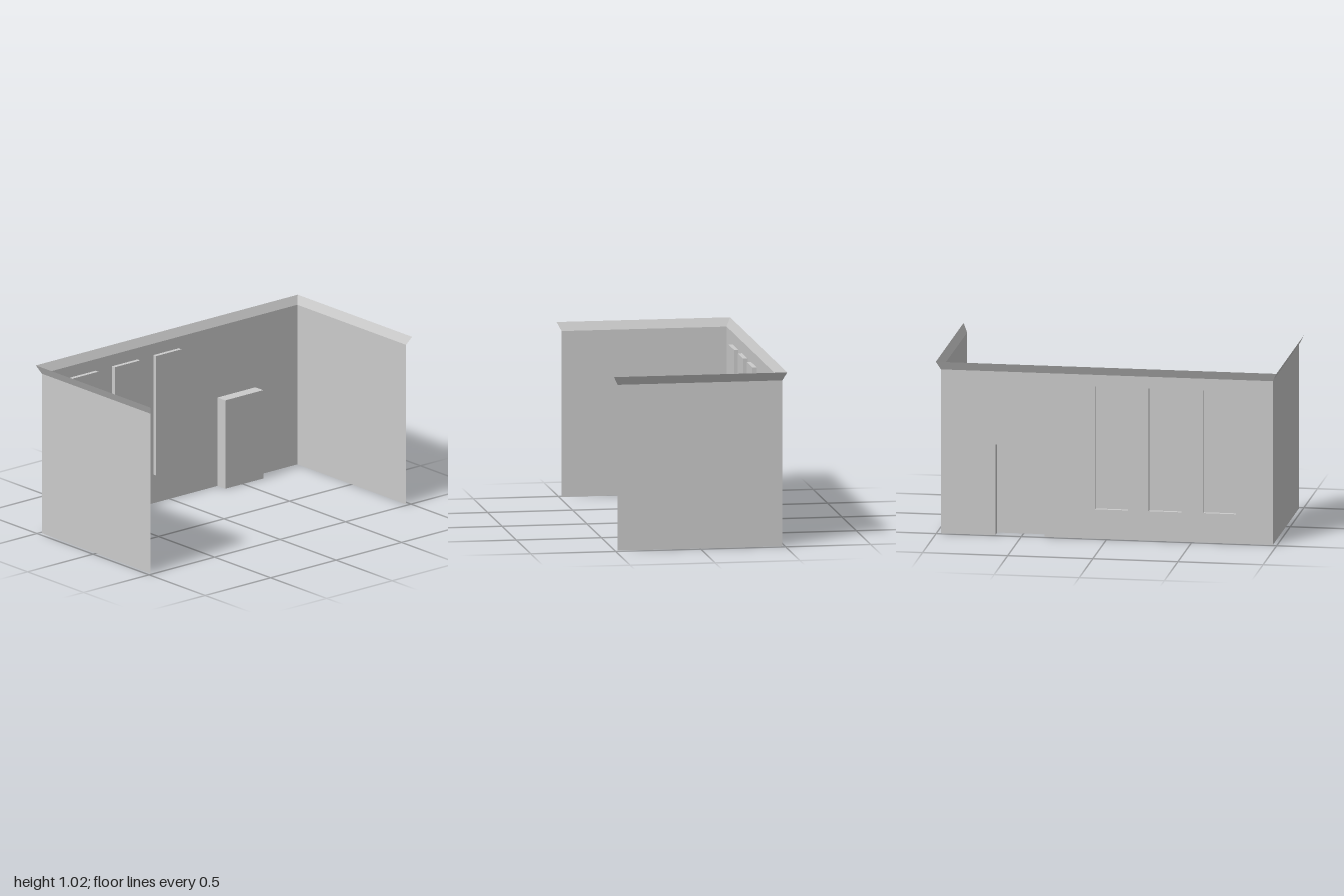
import * as THREE from 'three';

const X = 0.485, Z = 0.975, EAVE = 0.975;   // wall faces and wall height
const TX = 0.51, TZ = 1, TOP = 1.025;       // flared cornice rim

const material = new THREE.MeshStandardMaterial({
  color: 0xcccccc, side: THREE.DoubleSide, flatShading: true,
});

// Flat four-cornered sheets, corners counter-clockwise seen from outside
function sheets(name, quads) {
  const pos = [];
  for (const [a, b, c, d] of quads) pos.push(...a, ...b, ...c, ...a, ...c, ...d);
  const geo = new THREE.BufferGeometry();
  geo.setAttribute('position', new THREE.Float32BufferAttribute(pos, 3));
  geo.computeVertexNormals();
  const mesh = new THREE.Mesh(geo, material);
  mesh.name = name;
  return mesh;
}

// Niche pushed inward from the long wall: back panel plus reveals
function niche(name, { z0, z1, y0, y1, depth }, withSill) {
  const o = -X, i = -X + depth;
  const quads = [
    [[i, y0, z0], [i, y0, z1], [i, y1, z1], [i, y1, z0]],   // panel
    [[o, y0, z0], [i, y0, z0], [i, y1, z0], [o, y1, z0]],   // jambs
    [[i, y0, z1], [o, y0, z1], [o, y1, z1], [i, y1, z1]],
    [[o, y1, z0], [i, y1, z0], [i, y1, z1], [o, y1, z1]],   // head
  ];
  if (withSill) quads.push([[o, y0, z1], [i, y0, z1], [i, y0, z0], [o, y0, z0]]);
  return sheets(name, quads);
}

export function createModel() {
  const group = new THREE.Group();
  const windows = [0.662, 0.343, 0.027].map((z) => (
    { z0: z - 0.097, z1: z + 0.097, y0: 0.175, y1: 0.905, depth: 0.025 }));
  const door = { z0: -0.655, z1: -0.365, y0: 0, y1: 0.54, depth: 0.07 };

  // Long wall with door notch and window openings, drawn with z as the shape's x
  const shape = new THREE.Shape([
    [-Z, 0], [door.z0, 0], [door.z0, door.y1], [door.z1, door.y1],
    [door.z1, 0], [Z, 0], [Z, EAVE], [-Z, EAVE],
  ].map(([x, y]) => new THREE.Vector2(x, y)));
  for (const { z0, z1, y0, y1 } of windows) {
    shape.holes.push(new THREE.Path([
      [z0, y0], [z0, y1], [z1, y1], [z1, y0],
    ].map(([x, y]) => new THREE.Vector2(x, y))));
  }
  const longWall = new THREE.Mesh(
    new THREE.ShapeGeometry(shape).rotateY(-Math.PI / 2).translate(-X, 0, 0), material);
  longWall.name = 'longWall';
  group.add(longWall);

  // Window and door niches
  windows.forEach((w, n) => group.add(niche(`windowNiche${n + 1}`, w, true)));
  group.add(niche('doorNiche', door, false));

  // Cornice along the long wall
  group.add(sheets('longCornice', [
    [[-X, EAVE, -Z], [-X, EAVE, Z], [-TX, TOP, TZ], [-TX, TOP, -TZ]]]));

  // End walls with their cornices, front and back
  for (const [label, s] of [['front', 1], ['back', -1]]) {
    group.add(sheets(`${label}Wall`, [
      [[-X * s, 0, Z * s], [X * s, 0, Z * s], [X * s, EAVE, Z * s], [-X * s, EAVE, Z * s]]]));
    group.add(sheets(`${label}Cornice`, [
      [[-X * s, EAVE, Z * s], [X * s, EAVE, Z * s], [TX * s, TOP, TZ * s], [-TX * s, TOP, TZ * s]]]));
  }
  return group;
}
